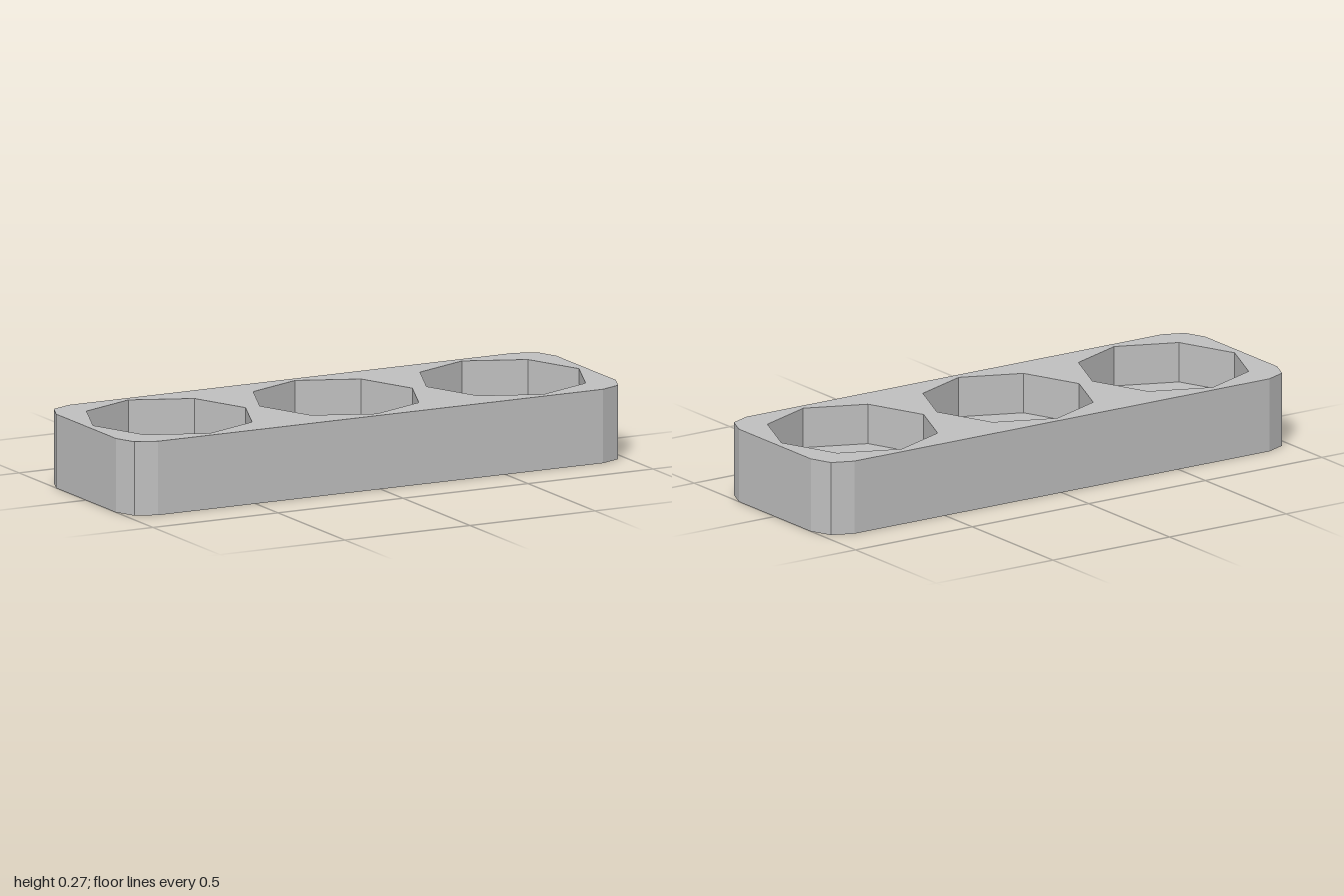
import * as THREE from 'three';

const HEIGHT = 0.267, FLOOR = 0.122;
const HALF_X = 1, HALF_Z = 0.333, CORNER = 0.11;
const POCKET_RADIUS = 0.305, POCKET_X = [-0.667, 0, 0.667];

// Points along a circle arc, counter-clockwise
function arc(cx, cy, r, start, steps, count) {
  return Array.from({ length: count }, (_, i) => {
    const a = start + (i * Math.PI * 2) / steps;
    return new THREE.Vector2(cx + r * Math.cos(a), cy + r * Math.sin(a));
  });
}

// Vertical walls around a closed outline; counter-clockwise faces outward
function wallGeometry(points, y0, y1) {
  const pos = [];
  points.forEach((p, i) => {
    const q = points[(i + 1) % points.length];
    pos.push(p.x, y0, -p.y, q.x, y0, -q.y, q.x, y1, -q.y);
    pos.push(p.x, y0, -p.y, q.x, y1, -q.y, p.x, y1, -p.y);
  });
  const geo = new THREE.BufferGeometry();
  geo.setAttribute('position', new THREE.Float32BufferAttribute(pos, 3));
  geo.computeVertexNormals();
  return geo;
}

// Horizontal face at height y, looking up or down
function flatGeometry(shape, y, up = true) {
  return new THREE.ShapeGeometry(shape).rotateX(up ? -Math.PI / 2 : Math.PI / 2).translate(0, y, 0);
}

export function createModel() {
  const group = new THREE.Group();
  group.name = 'threePocketTray';
  const grey = new THREE.MeshStandardMaterial({ color: 0xc0c0c0 });
  grey.name = 'grey';

  const add = (parent, name, geometry) => {
    const mesh = new THREE.Mesh(geometry, grey);
    mesh.name = name;
    parent.add(mesh);
  };

  // Body outline: a rectangle whose corners are two-facet arcs
  const outline = [[1, 1], [-1, 1], [-1, -1], [1, -1]].flatMap(([sx, sy], i) =>
    arc(sx * (HALF_X - CORNER), sy * (HALF_Z - CORNER), CORNER, (i * Math.PI) / 2, 8, 3));
  const top = new THREE.Shape(outline);

  // Octagonal pockets sunk into the top
  POCKET_X.forEach((x, i) => {
    const octagon = arc(x, 0, POCKET_RADIUS, 0, 8, 8);
    const inward = [...octagon].reverse();
    top.holes.push(new THREE.Path(inward));
    const pocket = new THREE.Group();
    pocket.name = ['rightPocket', 'middlePocket', 'leftPocket'][i];
    add(pocket, 'pocketWall', wallGeometry(inward, FLOOR, HEIGHT));
    add(pocket, 'pocketFloor', flatGeometry(new THREE.Shape(octagon), FLOOR));
    group.add(pocket);
  });

  // Outer body
  add(group, 'topFace', flatGeometry(top, HEIGHT));
  add(group, 'sideWall', wallGeometry(outline, 0, HEIGHT));
  add(group, 'bottomFace', flatGeometry(new THREE.Shape(outline), 0, false));
  return group;
}
